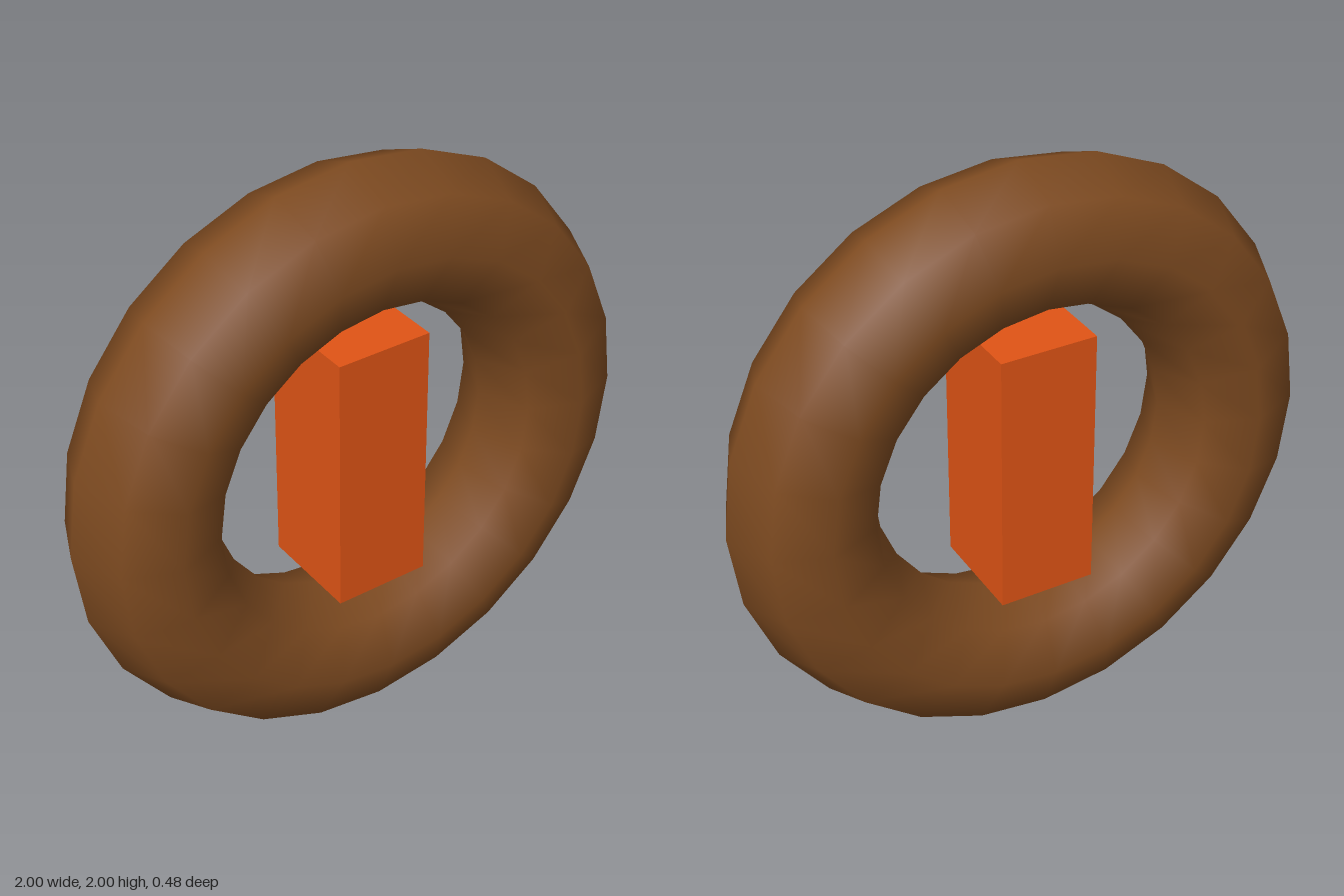
import * as THREE from 'three';

export function createModel() {
  const model = new THREE.Group();

  const add = (name, geometry, color) => {
    const mesh = new THREE.Mesh(geometry, new THREE.MeshStandardMaterial({ color }));
    mesh.name = name;
    mesh.position.y = 1;
    model.add(mesh);
    return mesh;
  };

  // Upright ring, smooth shaded with an eight-sided tube
  add('ring', new THREE.TorusGeometry(0.758, 0.242, 8, 24), 0x7d4a20);

  // Upright block floating in the middle of the ring
  add('centreBlock', new THREE.BoxGeometry(0.33, 0.906, 0.36), 0xe05415);

  return model;
}
